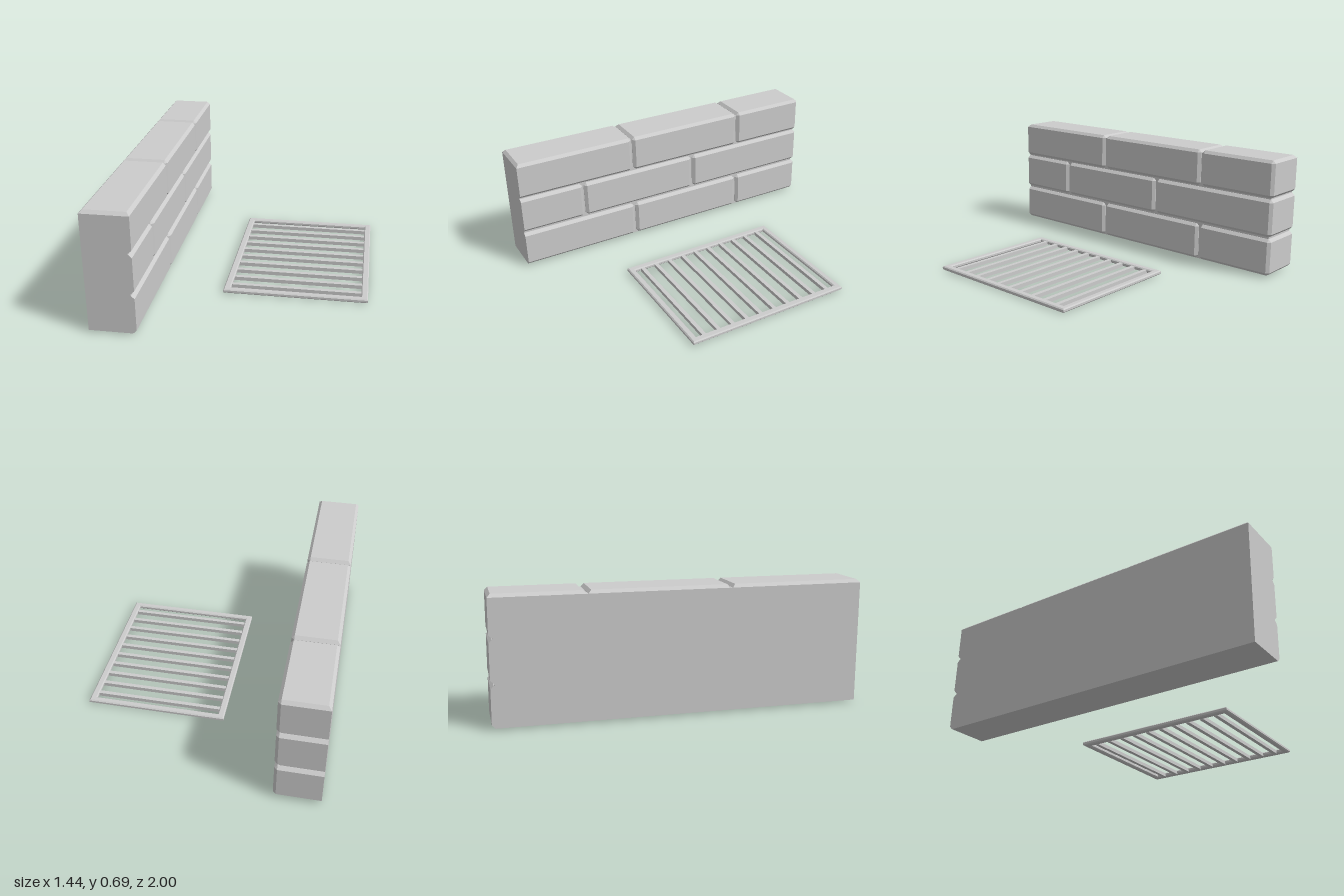
import * as THREE from 'three';
import { ConvexGeometry } from 'three/addons/geometries/ConvexGeometry.js';

const stone = new THREE.MeshStandardMaterial({ color: 0xcccccc });
stone.name = 'light grey';

const BACK = -0.72, FACE = -0.46, END = 1, C = 0.017;

function add(parent, geometry, name) {
  const mesh = new THREE.Mesh(geometry, stone);
  mesh.name = name;
  parent.add(mesh);
  return mesh;
}

function box(parent, name, x0, x1, y0, y1, z0, z1) {
  const mesh = add(parent, new THREE.BoxGeometry(x1 - x0, y1 - y0, z1 - z0), name);
  mesh.position.set((x0 + x1) / 2, (y0 + y1) / 2, (z0 + z1) / 2);
}

// Chamfered brick, cut flush at the plain back and the plain front end of the wall
function brickGeometry(y0, y1, z0, z1, isTop) {
  const lo = [BACK - C, y0, z0];
  const hi = [FACE, y1, z1 === END ? END + C : z1];
  const points = [];
  for (let corner = 0; corner < 8; corner++) {
    for (let axis = 0; axis < 3; axis++) {
      const p = [0, 1, 2].map((i) => {
        const inset = i === axis ? 0 : C;
        return (corner >> i) & 1 ? hi[i] - inset : lo[i] + inset;
      });
      // the top course keeps its upper chamfer on every side
      const cut = isTop && axis === 1 && p[1] === y1 ? C : 0;
      points.push(new THREE.Vector3(
        Math.max(p[0], BACK + cut), p[1], Math.min(p[2], END - cut)));
    }
  }
  return new ConvexGeometry(points);
}

function createWall() {
  const wall = new THREE.Group();
  wall.name = 'brickWall';
  box(wall, 'mortarCore', BACK, FACE - 0.02, 0.01, 0.675, -0.98, END);
  const courses = [[0.012, 0.232], [0.244, 0.466], [0.474, 0.693]];
  const gap = 0.005;
  courses.forEach(([y0, y1], row) => {
    const joints = row === 1 ? [-0.165, 0.6] : [-0.505, 0.26];
    const edges = [-1, ...joints, END];
    for (let i = 0; i < 3; i++) {
      const z0 = edges[i] + (i > 0 ? gap : 0);
      const z1 = edges[i + 1] - (i < 2 ? gap : 0);
      add(wall, brickGeometry(y0, y1, z0, z1, row === 2), 'brick');
    }
  });
  return wall;
}

function rectangle(target, x, z) {
  target.moveTo(-x, -z);
  target.lineTo(x, -z);
  target.lineTo(x, z);
  target.lineTo(-x, z);
  target.closePath();
  return target;
}

function createGrate() {
  const grate = new THREE.Group();
  grate.name = 'floorGrate';
  const bevel = 0.006;
  // Bevelled rim with an open middle
  const outline = rectangle(new THREE.Shape(), 0.409 - bevel, 0.503 - bevel);
  outline.holes.push(rectangle(new THREE.Path(), 0.37 + bevel, 0.467 + bevel));
  const rim = new THREE.ExtrudeGeometry(outline, {
    depth: 0.012, bevelEnabled: true, bevelSize: bevel, bevelThickness: bevel, bevelSegments: 1,
  });
  rim.rotateX(-Math.PI / 2).translate(0, 0.003 + bevel, 0);
  add(grate, rim, 'grateFrame');
  // Ten cross slats
  for (let i = 0; i < 10; i++) {
    const z = (i - 4.5) * 0.0925;
    box(grate, 'slat', -0.374, 0.374, 0, 0.022, z - 0.012, z + 0.012);
  }
  grate.position.x = 0.311;
  return grate;
}

export function createModel() {
  const model = new THREE.Group();
  model.name = 'wallAndGrate';
  model.add(createWall(), createGrate());
  return model;
}
